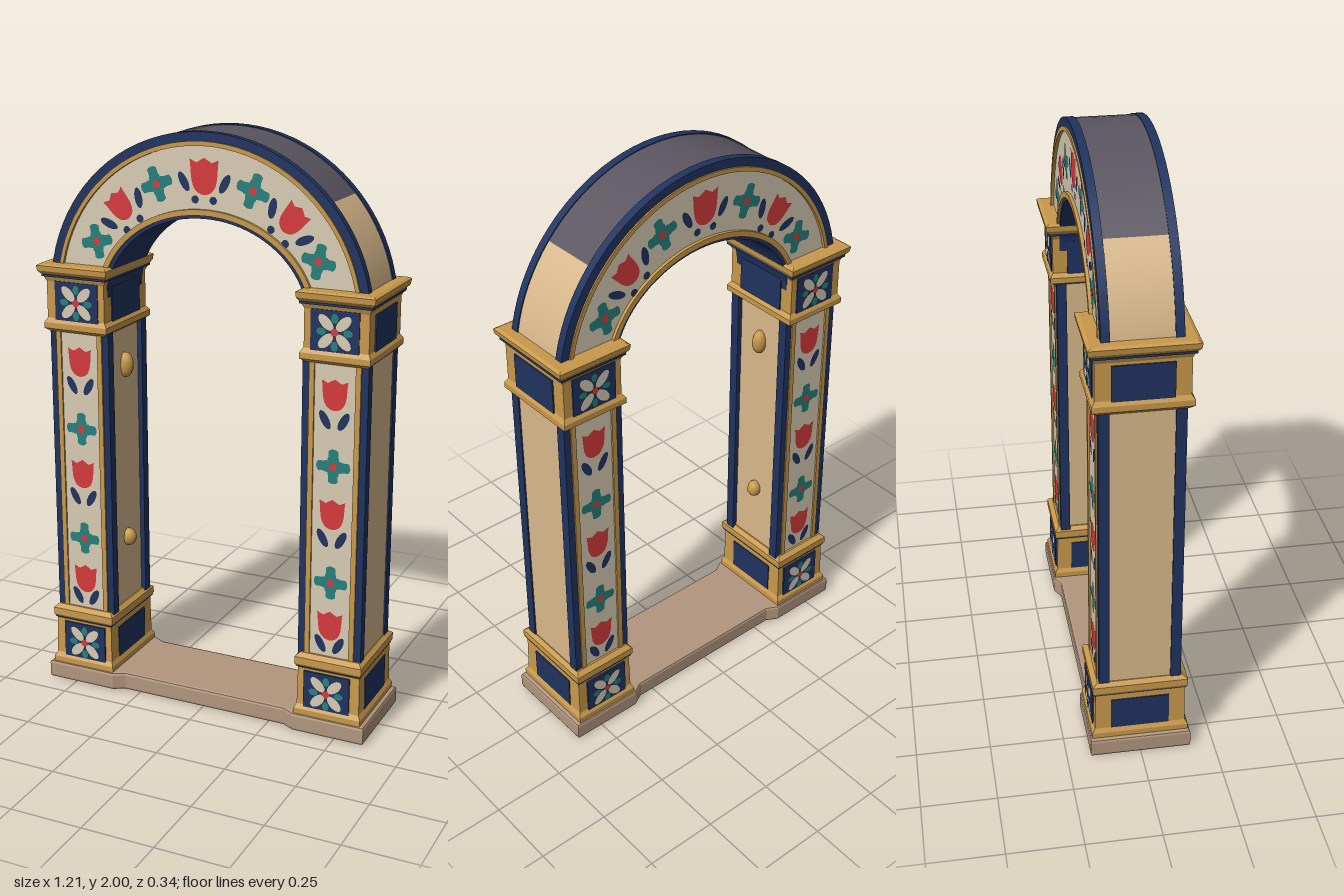
import * as THREE from 'three';
import { toCreasedNormals } from 'three/addons/utils/BufferGeometryUtils.js';

const CY = 1.43; // springing height of the arch
const CX = 0.465; // centre line of a column

export function createModel() {
  const root = new THREE.Group();
  root.name = 'archway';
  const mat = (name, color) => Object.assign(new THREE.MeshStandardMaterial({ color }), { name });
  const ivory = mat('ivory', 0xd8ccb4), tan = mat('tan', 0xd9b98c), gold = mat('gold', 0xc8994c);
  const navy = mat('navy', 0x20335f), red = mat('red', 0xd63a3c), teal = mat('teal', 0x25807c);
  const slate = mat('slate', 0x5a5560), stone = mat('stone', 0xb2967e);

  function add(parent, name, geo, material, x = 0, y = 0, z = 0, rot = 0) {
    const m = new THREE.Mesh(geo, material);
    m.name = name;
    m.position.set(x, y, z);
    m.rotation.z = rot;
    parent.add(m);
    return m;
  }
  // box given by its limits
  function box(parent, name, material, x0, x1, y0, y1, z0, z1) {
    return add(parent, name, new THREE.BoxGeometry(x1 - x0, y1 - y0, z1 - z0), material,
      (x0 + x1) / 2, (y0 + y1) / 2, (z0 + z1) / 2);
  }
  // stacked rectangles [y, x0, x1, halfDepth] joined into a moulded block
  function loft(levels) {
    const pos = [];
    const ring = ([y, a, b, d]) => [[a, y, d], [b, y, d], [b, y, -d], [a, y, -d]];
    const quad = (a, b, c, d) => pos.push(...a, ...b, ...c, ...a, ...c, ...d);
    for (let i = 0; i < levels.length - 1; i++) {
      const p = ring(levels[i]), q = ring(levels[i + 1]);
      for (let k = 0; k < 4; k++) quad(p[k], p[(k + 1) % 4], q[(k + 1) % 4], q[k]);
    }
    quad(...ring(levels[levels.length - 1]));
    quad(...ring(levels[0]).reverse());
    const g = new THREE.BufferGeometry();
    g.setAttribute('position', new THREE.Float32BufferAttribute(pos, 3));
    g.computeVertexNormals();
    return g;
  }
  // elliptical arch band between two radii pairs and two depths
  function band(name, material, [ox, oy], [ix, iy], z0, z1, a0 = 0, a1 = Math.PI) {
    const pts = [], n = Math.ceil((a1 - a0) * 14);
    const at = (rx, ry, i) => {
      const a = a0 + (a1 - a0) * i / n;
      pts.push(new THREE.Vector2(rx * Math.cos(a), ry * Math.sin(a)));
    };
    for (let i = 0; i <= n; i++) at(ox, oy, i);
    for (let i = n; i >= 0; i--) at(ix, iy, i);
    const g = new THREE.ExtrudeGeometry(new THREE.Shape(pts), { depth: z1 - z0, bevelEnabled: false });
    return add(root, name, toCreasedNormals(g, 0.5), material, 0, CY, z0);
  }

  // painted motifs
  const tulipShape = new THREE.Shape();
  tulipShape.moveTo(-0.05, 0.05);
  tulipShape.lineTo(-0.026, 0.04);
  tulipShape.lineTo(0, 0.055);
  tulipShape.lineTo(0.026, 0.04);
  tulipShape.lineTo(0.05, 0.05);
  tulipShape.bezierCurveTo(0.042, 0.01, 0.055, -0.05, 0, -0.055);
  tulipShape.bezierCurveTo(-0.055, -0.05, -0.042, 0.01, -0.05, 0.05);
  const tulipGeo = new THREE.ShapeGeometry(tulipShape);
  const oval = (rx, ry) => new THREE.ShapeGeometry(new THREE.Shape().absellipse(0, 0, rx, ry, 0, Math.PI * 2), 8);
  const leafGeo = oval(0.014, 0.034), dotGeo = oval(0.013, 0.013), petalGeo = oval(0.017, 0.032);
  const budGeo = oval(0.012, 0.016);
  const crossGeo = new THREE.ShapeGeometry(new THREE.Shape(Array.from({ length: 40 }, (_, i) => {
    const a = i / 40 * Math.PI * 2, r = 0.028 + 0.031 * Math.abs(Math.cos(2 * a)) ** 0.7 * (Math.cos(4 * a) > -0.2 ? 1 : 0.4);
    return new THREE.Vector2(r * Math.cos(a), r * Math.sin(a));
  })));
  function motif(parent, name, x, y, z, rot = 0) {
    const g = new THREE.Group();
    g.name = name;
    g.position.set(x, y, z);
    g.rotation.z = rot;
    parent.add(g);
    return g;
  }
  function tulip(parent, x, y, z, rot, leafX, leafY, s = 1) {
    const g = motif(parent, 'tulip', x, y, z, rot);
    add(g, 'tulipBloom', tulipGeo, red).scale.set(s * 0.95, s, 1);
    for (const k of [-1, 1]) add(g, 'tulipLeaf', leafGeo, navy, k * leafX, leafY, 0, -k * 0.5);
    return g;
  }
  function crossFlower(parent, x, y, z, rot = 0) {
    const g = motif(parent, 'crossFlower', x, y, z, rot);
    add(g, 'crossPetals', crossGeo, teal);
    add(g, 'crossCentre', dotGeo, red, 0, 0, 0.002);
  }
  function rosette(parent, y, z) {
    const g = motif(parent, 'rosette', 0, y, z);
    for (let i = 0; i < 4; i++) {
      const a = i * Math.PI / 2, d = a + Math.PI / 4;
      add(g, 'rosettePetal', petalGeo, ivory, -0.042 * Math.sin(d), 0.042 * Math.cos(d), 0, d);
      add(g, 'rosetteBud', budGeo, teal, -0.045 * Math.sin(a), 0.045 * Math.cos(a), 0.001, a);
    }
    add(g, 'rosetteCentre', dotGeo, red, 0, 0, 0.002);
  }

  // sill, wider beneath the columns
  const plan = [[-0.595, -0.16], [-0.35, -0.16], [-0.31, -0.138], [0.31, -0.138], [0.35, -0.16], [0.595, -0.16],
    [0.595, 0.16], [0.35, 0.16], [0.31, 0.138], [-0.31, 0.138], [-0.35, 0.16], [-0.595, 0.16]];
  const sill = new THREE.ExtrudeGeometry(new THREE.Shape(plan.map(p => new THREE.Vector2(...p))),
    { depth: 0.046, bevelThickness: 0.01, bevelSize: 0.01, bevelSegments: 2 });
  add(root, 'sill', sill.rotateX(-Math.PI / 2), stone, 0, 0.01, 0);

  // columns: the second is the first turned half round
  for (const side of [1, -1]) {
    const col = new THREE.Group();
    col.name = side > 0 ? 'leftColumn' : 'rightColumn';
    col.rotation.y = side > 0 ? 0 : Math.PI;
    root.add(col);
    add(col, 'base', loft([[0.06, 0.35, 0.59, 0.163], [0.085, 0.35, 0.59, 0.163], [0.1, 0.358, 0.582, 0.153],
      [0.235, 0.36, 0.58, 0.15], [0.25, 0.35, 0.588, 0.16], [0.275, 0.35, 0.588, 0.16], [0.288, 0.365, 0.575, 0.143]]), gold);
    add(col, 'capital', loft([[1.3, 0.367, 0.575, 0.14], [1.313, 0.348, 0.588, 0.158], [1.333, 0.348, 0.588, 0.158],
      [1.348, 0.36, 0.579, 0.148], [1.475, 0.36, 0.579, 0.148], [1.495, 0.35, 0.588, 0.156],
      [1.512, 0.34, 0.602, 0.17], [1.53, 0.338, 0.605, 0.172], [1.536, 0.35, 0.595, 0.16]]), gold);
    box(col, 'baseStripe', navy, 0.354, 0.584, 0.24, 0.248, -0.156, 0.156);
    box(col, 'capitalStripe', navy, 0.347, 0.592, 1.492, 1.501, -0.16, 0.16);
    box(col, 'shaft', tan, 0.37, 0.572, 0.27, 1.32, -0.13, 0.13);
    // side panels of base and capital, inside and outside
    for (const [y0, y1] of [[0.1, 0.215], [1.345, 1.465]]) {
      box(col, 'outerPanel', navy, 0.577, 0.584, y0, y1, -0.098, 0.098);
      box(col, 'innerPanel', navy, 0.356, 0.363, y0, y1, -0.098, 0.098);
    }
    for (const s of [1, -1]) {
      const face = new THREE.Group();
      face.name = s > 0 ? 'frontFace' : 'backFace';
      face.position.x = CX;
      face.rotation.y = s > 0 ? 0 : Math.PI;
      col.add(face);
      box(face, 'ivoryPanel', ivory, -0.075, 0.075, 0.28, 1.31, 0.12, 0.136);
      for (const k of [-1, 1]) {
        const e = (name, m, a, b, z0, z1) => box(face, name, m, Math.min(k * a, k * b), Math.max(k * a, k * b), 0.28, 1.31, z0, z1);
        e('cornerStrip', navy, 0.086, 0.112, 0.102, 0.137);
        e('goldBead', gold, 0.07, 0.088, 0.12, 0.142);
      }
      for (const y of [1.2, 0.795, 0.4]) tulip(face, 0, y, 0.138, 0, 0.032, y < 0.5 ? -0.068 : -0.085, 0.95);
      for (const y of [0.96, 0.555]) crossFlower(face, 0, y, 0.138);
      for (const [y, z] of [[0.157, 0.157], [1.408, 0.151]]) {
        box(face, 'rosettePanel', navy, -0.082, 0.082, y - 0.07, y + 0.07, z - 0.008, z);
        rosette(face, y, z + 0.002);
      }
    }
  }

  // arch body, soffit and outer skin
  band('archBody', ivory, [0.54, 0.535], [0.37, 0.31], -0.12, 0.12);
  band('archSoffit', navy, [0.378, 0.31], [0.36, 0.295], -0.123, 0.123);
  const skinO = [0.572, 0.568], skinI = [0.53, 0.525], split = 0.72;
  band('archCrownSkin', slate, skinO, skinI, -0.1, 0.1, split, Math.PI - split);
  band('archLeftSkin', tan, skinO, skinI, -0.1, 0.1, 0, split);
  band('archRightSkin', tan, skinO, skinI, -0.1, 0.1, Math.PI - split, Math.PI);
  // arch mouldings and flowers on both faces
  for (const s of [1, -1]) {
    const ring = (name, m, o, i, z0, z1) => band(name, m, o, i, s > 0 ? z0 : -z1, s > 0 ? z1 : -z0);
    ring('archRim', navy, [0.576, 0.571], [0.545, 0.54], 0.098, 0.126);
    ring('archOuterBead', gold, [0.547, 0.542], [0.533, 0.527], 0.1, 0.131);
    ring('archInnerBead', gold, [0.392, 0.325], [0.374, 0.306], 0.1, 0.131);
    const face = new THREE.Group();
    face.name = s > 0 ? 'archFrontFlowers' : 'archBackFlowers';
    face.rotation.y = s > 0 ? 0 : Math.PI;
    root.add(face);
    const z = 0.122;
    for (const [x, y, rot] of [[0, 1.86, 0], [0.305, 1.745, -0.7], [-0.305, 1.745, 0.7]]) {
      const g = tulip(face, x, y, z, rot, 0.072, -0.02, x ? 0.92 : 1.08);
      for (const k of [-1, 1]) add(g, 'tulipDot', dotGeo, navy, k * 0.032, -0.075);
    }
    for (const k of [-1, 1]) {
      crossFlower(face, k * 0.17, 1.825, z, -k * 0.35);
      crossFlower(face, k * 0.395, 1.62, z, -k * 0.2);
    }
  }

  // small hinge lugs on the inner sides of the columns
  const lug = new THREE.SphereGeometry(1, 12, 8);
  for (const [x, y, h] of [[-0.362, 1.17, 0.045], [-0.362, 0.53, 0.032], [0.362, 1.17, 0.05]])
    add(root, 'hingeLug', lug, gold, x, y, 0).scale.set(0.028, h, 0.025);
  add(root, 'hingeStrip', lug, tan, 0.367, 0.8, 0).scale.set(0.014, 0.4, 0.02);
  return root;
}
